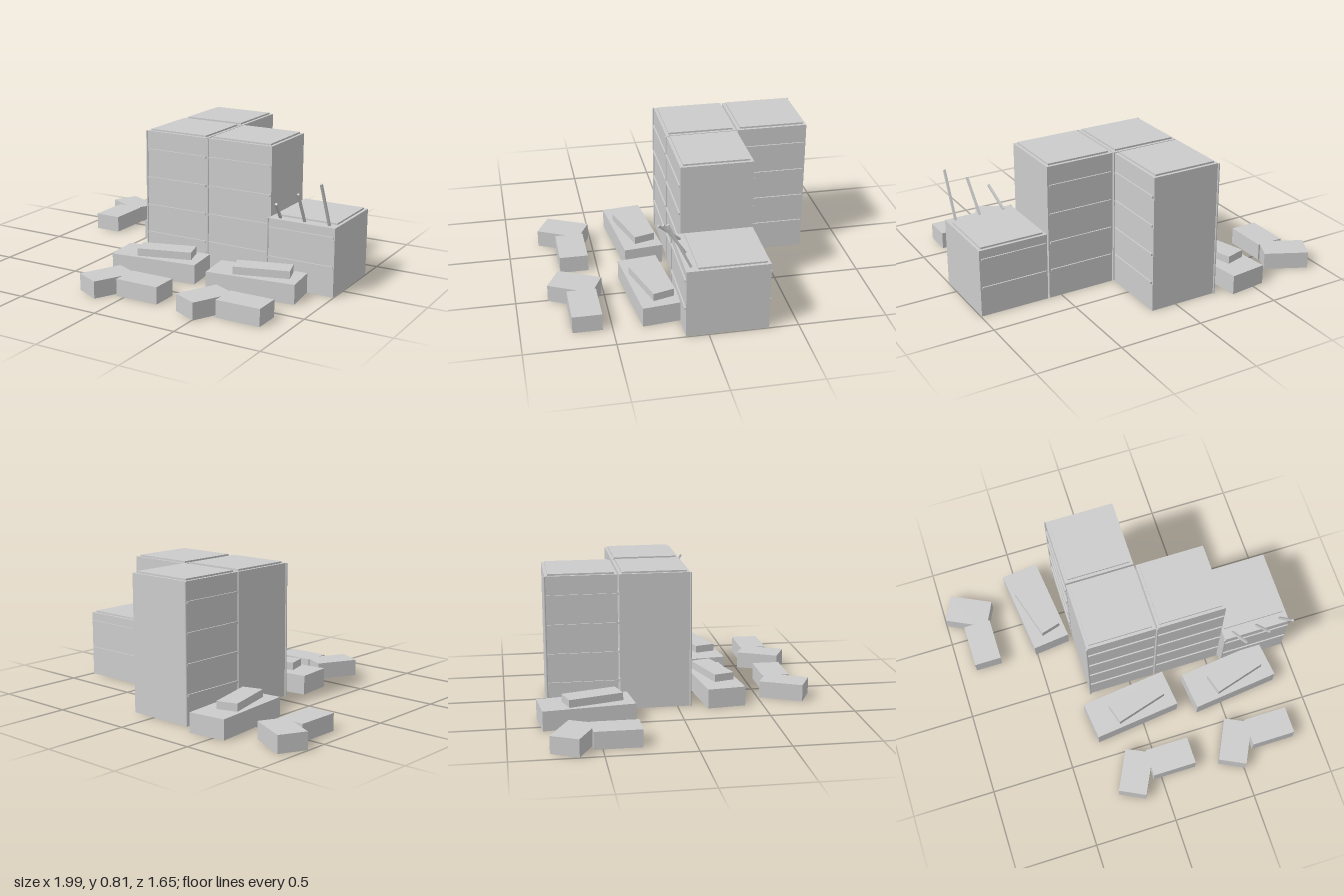
import * as THREE from 'three';

const concrete = new THREE.MeshStandardMaterial({ color: 0xcccccc });
concrete.name = 'concrete grey';

function add(parent, name, geometry, x = 0, y = 0, z = 0, ry = 0) {
  const mesh = new THREE.Mesh(geometry, concrete);
  mesh.name = name;
  mesh.position.set(x, y, z);
  mesh.rotation.y = ry;
  parent.add(mesh);
  return mesh;
}

// box standing on height y0
function block(parent, name, [w, h, d], x, y0, z, ry = 0) {
  return add(parent, name, new THREE.BoxGeometry(w, h, d), x, y0 + h / 2, z, ry);
}

// block with floor bands front and back, a roof slab and a corner pipe
function building(name, x, z, ry, height, extraDepth = 0) {
  const g = new THREE.Group();
  g.name = name;
  g.position.set(x, 0, z);
  g.rotation.y = ry;
  const w = 0.41, d = 0.41, front = d / 2 + extraDepth;
  block(g, 'walls', [w, height, d + extraDepth], 0, 0, extraDepth / 2);
  block(g, 'roofSlab', [0.375, 0.01, 0.375], 0, height, 0);
  for (let y = 0.172; y < height - 0.03; y += 0.171) {
    block(g, 'frontFloorBand', [w - 0.01, 0.013, 0.012], 0, y - 0.006, front + 0.002);
    block(g, 'backFloorBand', [0.39, 0.013, 0.012], 0, y - 0.006, -d / 2 - 0.002);
  }
  add(g, 'cornerPipe', new THREE.CylinderGeometry(0.006, 0.006, height, 8), -w / 2 - 0.002, height / 2, front + 0.002);
  return g;
}

// fallen slabs and a broken wall piece in front of a building
function rubble(x, z, ry) {
  const g = new THREE.Group();
  g.name = 'rubble';
  g.position.set(x, 0, z);
  g.rotation.y = ry;
  block(g, 'fallenSlab', [0.528, 0.115, 0.227], 0, 0, 0.378, 0.114);
  block(g, 'fallenSlabTop', [0.323, 0.045, 0.125], 0.038, 0.115, 0.375, 0.283);
  const outline = [
    [-0.115, 0.635], [0, 0.69], [0, 0.68], [0.265, 0.68], [0.265, 0.845],
    [0, 0.845], [0, 0.785], [-0.08, 0.945], [-0.23, 0.87],
  ].map(([px, pz]) => new THREE.Vector2(px, -pz));
  const piece = new THREE.ExtrudeGeometry(new THREE.Shape(outline), { depth: 0.1, bevelEnabled: false });
  add(g, 'brokenWall', piece.rotateX(-Math.PI / 2));
  return g;
}

// square bar between two points
function bar(parent, name, a, b, size) {
  const from = new THREE.Vector3(...a), to = new THREE.Vector3(...b);
  const mid = from.clone().add(to).multiplyScalar(0.5);
  const mesh = add(parent, name, new THREE.BoxGeometry(size, from.distanceTo(to), size), mid.x, mid.y, mid.z);
  mesh.quaternion.setFromUnitVectors(new THREE.Vector3(0, 1, 0), to.sub(from).normalize());
}

export function createModel() {
  const model = new THREE.Group();
  model.name = 'ruinedApartments';
  const turn = -Math.PI / 2;

  model.add(building('backBuilding', -0.05, -0.55, turn, 0.8));
  model.add(building('middleBuilding', -0.05, -0.13, 0, 0.8));
  model.add(building('frontBuilding', 0.37, -0.13, 0, 0.8));
  model.add(building('collapsedBuilding', 0.79, -0.13, 0, 0.4, 0.05));

  // bent bars sticking out of the collapsed roof
  [[0.645, 0.678, 0.515], [0.795, 0.81, 0.59], [0.945, 0.945, 0.665]].forEach(([x0, x1, top]) =>
    bar(model, 'exposedBar', [x0, 0.4, 0.09], [x1, top, 0.215], 0.013));

  model.add(rubble(-0.05, -0.125, 0));
  model.add(rubble(0.585, -0.125, 0));
  model.add(rubble(-0.05, -0.55, turn));
  return model;
}
